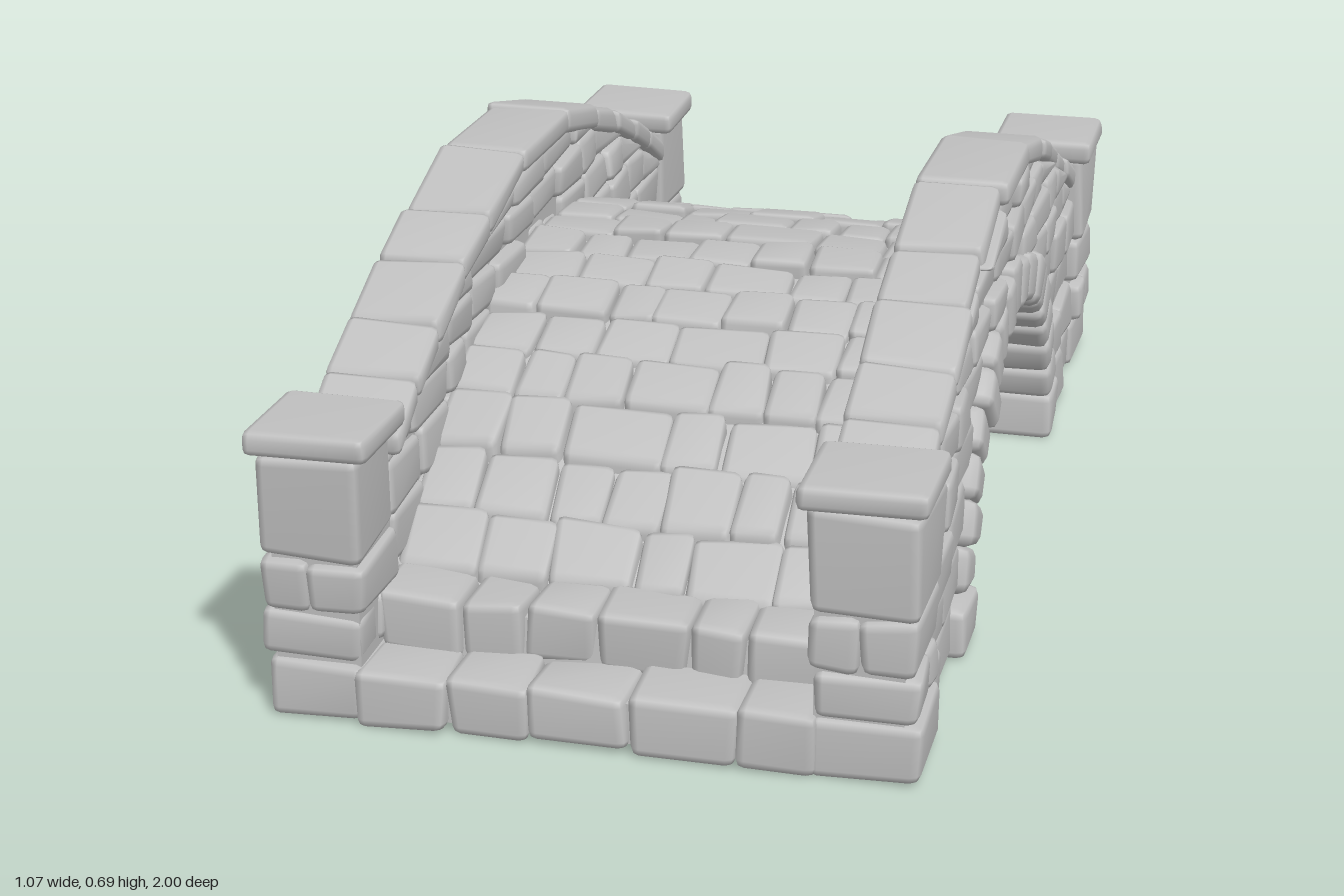
import * as THREE from 'three';
import { mergeGeometries, mergeVertices } from 'three/addons/utils/BufferGeometryUtils.js';
import { RoundedBoxGeometry } from 'three/addons/geometries/RoundedBoxGeometry.js';

let seed = 7;
const rnd = () => {
  seed = (seed * 16807) % 2147483647;
  return seed / 2147483647;
};
const jit = (a) => (rnd() - 0.5) * 2 * a;

// Height of the parapet top and of the walkway along the bridge
const copingY = (z) => 0.7 - 0.38 * Math.pow(Math.abs(z), 1.6);
const DECK = [[0, 0.505], [0.1, 0.5], [0.2, 0.485], [0.3, 0.46], [0.4, 0.427], [0.5, 0.38],
  [0.6, 0.322], [0.7, 0.255], [0.79, 0.185]];
const deckY = (z) => {
  const a = Math.abs(z);
  const i = Math.max(1, DECK.findIndex((p) => p[0] >= a - 1e-6));
  const [z0, y0] = DECK[i - 1], [z1, y1] = DECK[i];
  return y0 + (y1 - y0) * (a - z0) / (z1 - z0);
};

// One worn stone: a quad in the (z, y) plane, swept from x0 to x1, with uneven corners.
// Quad order: low z bottom, high z bottom, high z top, low z top.
function stone(quad, x0, x1, wear = 0.007, radius = 0.016) {
  const [a, b, c, d] = quad;
  const w = x1 - x0;
  const l = (Math.hypot(b[0] - a[0], b[1] - a[1]) + Math.hypot(c[0] - d[0], c[1] - d[1])) / 2;
  const h = (Math.hypot(d[0] - a[0], d[1] - a[1]) + Math.hypot(c[0] - b[0], c[1] - b[1])) / 2;
  let g = new RoundedBoxGeometry(w, h, l, 1, Math.min(radius, w * 0.3, h * 0.3, l * 0.3));
  g.deleteAttribute('uv');
  g.deleteAttribute('normal');
  g.clearGroups();
  g = mergeVertices(g, 1e-5);
  const off = Array.from({ length: 8 }, () => [jit(wear), jit(wear), jit(wear)]);
  const p = g.attributes.position;
  for (let i = 0; i < p.count; i++) {
    const s = p.getX(i) / w + 0.5, v = p.getY(i) / h + 0.5, u = p.getZ(i) / l + 0.5;
    const k = [(1 - u) * (1 - v), u * (1 - v), u * v, (1 - u) * v];
    const o = [x0 + s * w, 0, 0];
    k.forEach((kw, n) => {
      o[2] += kw * quad[n][0];
      o[1] += kw * quad[n][1];
      for (let m = 0; m < 3; m++) o[m] += kw * (off[n][m] * (1 - s) + off[n + 4][m] * s);
    });
    p.setXYZ(i, o[0], Math.max(0, o[1]), THREE.MathUtils.clamp(o[2], -1, 1));
  }
  g.computeVertexNormals();
  return g;
}
const rect = (z0, z1, y0, y1) => [[z0, y0], [z1, y0], [z1, y1], [z0, y1]];

// Uneven cuts between two values, about `size` apart
function cuts(from, to, size) {
  const n = Math.max(1, Math.round((to - from) / size));
  return Array.from({ length: n + 1 }, (_, i) =>
    from + (to - from) * i / n + (i > 0 && i < n ? jit(0.2 * (to - from) / n) : 0));
}

// Solid backing: (z, y) outline swept across x
function core(points, x, width) {
  const shape = new THREE.Shape(points.map((p) => new THREE.Vector2(p[0], p[1])));
  const g = new THREE.ExtrudeGeometry(shape, { depth: width, bevelEnabled: false });
  return g.translate(0, 0, -width / 2).rotateY(-Math.PI / 2).translate(x, 0, 0);
}
const archPoints = (a, b, n, y0) => Array.from({ length: n + 1 }, (_, i) => {
  const t = Math.PI * i / n;
  return [a * Math.cos(t), Math.max(y0, b * Math.sin(t))];
});

export function createModel() {
  seed = 7;
  const group = new THREE.Group();
  const greyStone = new THREE.MeshStandardMaterial({ color: 0xc0c0c0, side: THREE.DoubleSide });
  greyStone.name = 'grey stone';
  const add = (name, geometry) => {
    const mesh = new THREE.Mesh(geometry, greyStone);
    mesh.name = name;
    group.add(mesh);
  };

  for (const side of [1, -1]) {
    const label = side > 0 ? 'left' : 'right';
    const span = (a, b) => (side > 0 ? [a, b] : [-b, -a]);

    // Courses of the side wall, fitted between the arch ring and the coping
    const wall = [];
    const rows = [0, 0.1, 0.19, 0.28, 0.37, 0.45, 0.52, 0.59, 0.65];
    for (let r = 0; r < rows.length - 1; r++) {
      const y0 = rows[r], y1 = rows[r + 1], ym = (y0 + y1) / 2;
      const zOut = Math.min(0.82, Math.pow((0.655 - y0) / 0.38, 1 / 1.6));
      const zIn = ym < 0.5 ? 0.51 * Math.sqrt(1 - (ym / 0.5) ** 2) : 0;
      const runs = zIn > 0 ? [[-zOut, -zIn], [zIn, zOut]] : [[-zOut, zOut]];
      for (const [from, to] of runs) {
        const c = cuts(from, to, 0.15);
        for (let i = 0; i < c.length - 1; i++) {
          const top = (z) => Math.max(y0 + 0.012, Math.min(y1, copingY(z) - 0.035));
          const q = [[c[i], y0], [c[i + 1], y0], [c[i + 1], top(c[i + 1])], [c[i], top(c[i])]];
          wall.push(stone(q, ...span(0.355 + jit(0.006), 0.502 + jit(0.01))));
        }
      }
    }
    add(label + 'WallStones', mergeGeometries(wall));

    // Wall backing
    const crest = cuts(-0.84, 0.84, 0.07).map((z) => [z, copingY(z) - 0.03]);
    add(label + 'WallCore', core([[-0.84, 0.01], ...crest, [0.84, 0.01], ...archPoints(0.46, 0.43, 24, 0.01)],
      side * 0.43, 0.115));

    // Arch ring with square footings
    const ring = [];
    const n = 17;
    for (let i = 0; i < n; i++) {
      const at = (k, a, b) => {
        const t = Math.PI - 0.2 - (Math.PI - 0.4) * k / n;
        return [a * Math.cos(t), b * Math.sin(t)];
      };
      const key = i === 8 ? 0.012 : jit(0.006);
      ring.push(stone([at(i, 0.435, 0.4), at(i + 1, 0.435, 0.4), at(i + 1, 0.53 + key, 0.5 + key),
        at(i, 0.53 + key, 0.5 + key)], ...span(0.365, 0.518 + jit(0.006)), 0.004, 0.018));
    }
    ring.push(stone(rect(0.43, 0.55, 0, 0.09), ...span(0.365, 0.52)));
    ring.push(stone(rect(-0.55, -0.43, 0, 0.09), ...span(0.365, 0.52)));
    add(label + 'ArchRing', mergeGeometries(ring));

    // Coping along the parapet
    const marks = [-0.82, -0.71, -0.6, -0.46, -0.33, -0.13, 0.13, 0.33, 0.46, 0.6, 0.71, 0.82];
    const coping = [];
    for (let i = 0; i < marks.length - 1; i++) {
      const [z0, z1] = [marks[i], marks[i + 1]];
      const [y0, y1] = [copingY(z0), copingY(z1)];
      coping.push(stone([[z0, y0 - 0.045], [z1, y1 - 0.045], [z1, y1], [z0, y0]],
        ...span(0.345, 0.503 + jit(0.006)), 0.005));
    }
    add(label + 'Coping', mergeGeometries(coping));

    // End pillars with caps
    const pillars = [];
    for (const end of [1, -1]) {
      const along = (a, b) => (end > 0 ? [a, b] : [-b, -a]);
      const levels = [0, 0.1, 0.18, 0.27, 0.445];
      for (let r = 0; r < 4; r++) {
        const out = 0.517 + jit(0.01), mid = 0.43 + jit(0.02), zMid = 0.9 + jit(0.03);
        const ys = [levels[r], levels[r + 1]];
        if (r === 2) {
          pillars.push(stone(rect(...along(0.815, 0.992), ...ys), ...span(0.35, mid)));
          pillars.push(stone(rect(...along(0.815, 0.992), ...ys), ...span(mid, out)));
        } else if (r === 1) {
          pillars.push(stone(rect(...along(0.815, zMid), ...ys), ...span(0.355, out)));
          pillars.push(stone(rect(...along(zMid, 0.99), ...ys), ...span(0.355, out)));
        } else pillars.push(stone(rect(...along(0.815, 0.995), ...ys), ...span(0.352, out)));
      }
      pillars.push(new THREE.BoxGeometry(0.14, 0.42, 0.15).translate(side * 0.43, 0.22, end * 0.905));
      pillars.push(stone(rect(...along(0.805, 1), 0.438, 0.483), ...span(0.333, 0.533), 0.003));
    }
    pillars.forEach((g) => g.deleteAttribute('uv'));
    add(label + 'Pillars', mergeGeometries(pillars));
  }

  // Paving over the hump, in staggered rows
  const paving = [];
  const rowMarks = [-0.79, -0.7, -0.6, -0.5, -0.4, -0.3, -0.2, -0.1, 0, 0.1, 0.2, 0.3, 0.4, 0.5, 0.6, 0.7, 0.79];
  for (let r = 0; r < rowMarks.length - 1; r++) {
    const [z0, z1] = [rowMarks[r], rowMarks[r + 1]];
    const [y0, y1] = [deckY(z0), deckY(z1)];
    const c = cuts(-0.37, 0.37, r % 2 ? 0.125 : 0.105);
    for (let i = 0; i < c.length - 1; i++) {
      const e = jit(0.007);
      paving.push(stone([[z0, y0 - 0.06], [z1, y1 - 0.06], [z1, y1 + e], [z0, y0 + e]], c[i], c[i + 1], 0.006, 0.014));
    }
  }
  add('pavingStones', mergeGeometries(paving));

  // Two steps at each end
  const steps = [];
  for (const end of [1, -1]) {
    const along = (a, b) => (end > 0 ? [a, b] : [-b, -a]);
    for (const [near, far, y0, y1, size] of [[0.87, 0.995, 0, 0.098, 0.15], [0.775, 0.89, 0.08, 0.18, 0.13]]) {
      const c = cuts(-0.365, 0.365, size);
      for (let i = 0; i < c.length - 1; i++)
        steps.push(stone(rect(...along(near, far + jit(0.005)), y0, y1 + jit(0.005)), c[i], c[i + 1]));
    }
  }
  add('endSteps', mergeGeometries(steps));

  // Hollow shell under the paving and steps
  const mirror = (pts) => [...pts.slice(1).reverse().map(([z, y]) => [-z, y]), ...pts];
  const upper = mirror([...DECK.map(([z, y]) => [z, y - 0.025]), [0.87, 0.155], [0.88, 0.08], [0.975, 0.08],
    [0.975, 0.012]]);
  const lower = mirror([...DECK.map(([z, y]) => [z, y - 0.075]), [0.88, 0.06], [0.89, 0.012]]);
  add('deckShell', core([...upper, ...lower.reverse()], 0, 0.76));

  // Underside: one fan from the left arch rim to the right front corner, one from the
  // right arch rim to the left back foot, meeting on a diagonal fold
  const rim = (x, i) => {
    const t = 0.15 + (Math.PI - 0.4) * i / 24;
    return [x, 0.405 * Math.sin(t), 0.435 * Math.cos(t)];
  };
  const corner = (x, z) => [x, 0.03, z];
  const frontApex = corner(-0.38, 0.88), backApex = rim(0.39, 24);
  const tris = [];
  for (let i = 0; i < 24; i++) {
    tris.push(...rim(0.39, i), ...rim(0.39, i + 1), ...frontApex);
    tris.push(...rim(-0.39, i + 1), ...rim(-0.39, i), ...backApex);
  }
  tris.push(...rim(-0.39, 0), ...frontApex, ...backApex);
  tris.push(...corner(0.38, 0.88), ...rim(0.39, 0), ...frontApex);
  tris.push(...backApex, ...corner(0.38, -0.89), ...rim(-0.39, 24));
  tris.push(...corner(0.38, -0.89), ...corner(-0.38, -0.89), ...rim(-0.39, 24));
  const vault = new THREE.BufferGeometry();
  vault.setAttribute('position', new THREE.Float32BufferAttribute(tris, 3));
  vault.computeVertexNormals();
  add('vaultUnderside', vault);

  return group;
}
